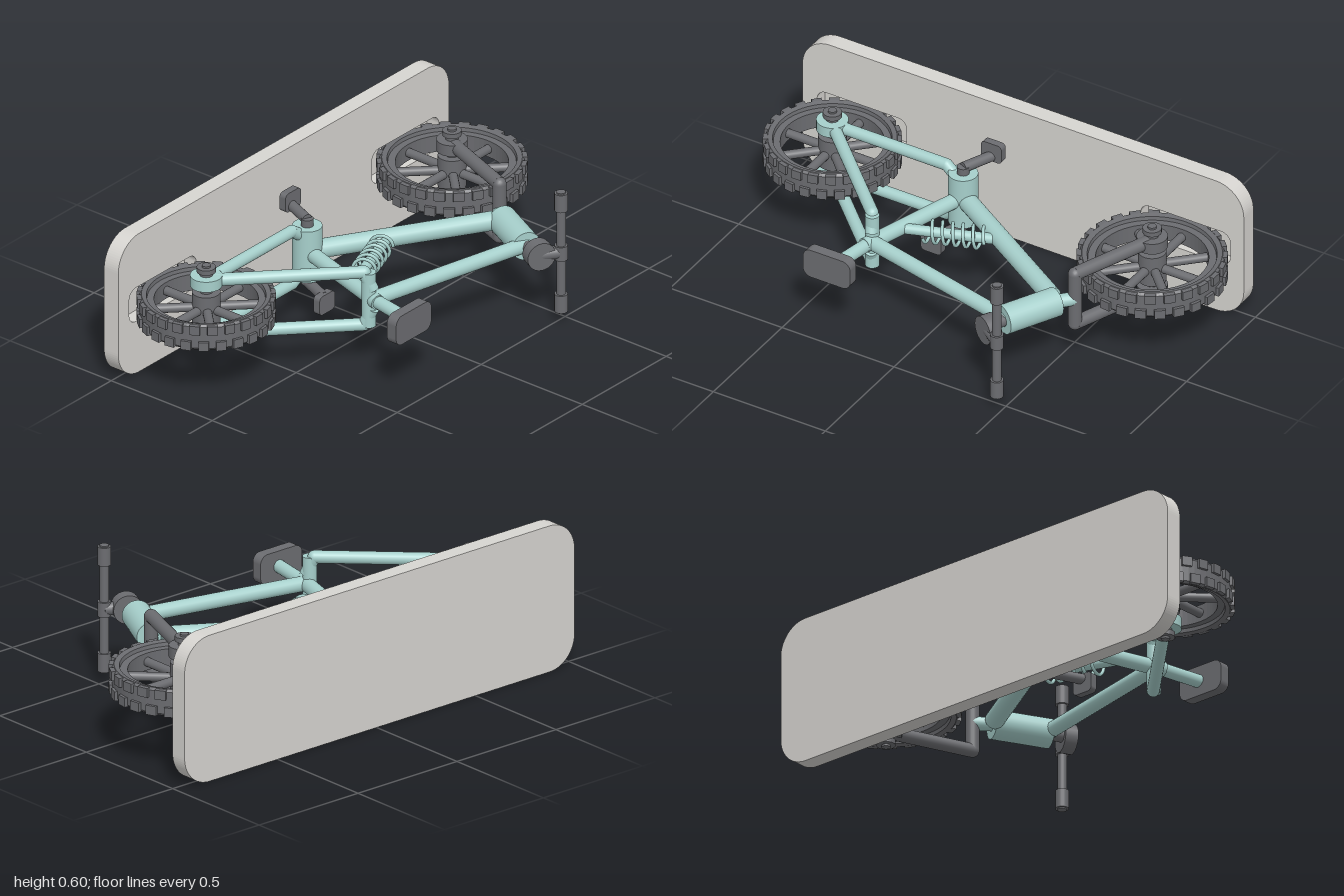
import * as THREE from 'three';

const mat = (color) => new THREE.MeshStandardMaterial({ color });
const V = (x, y, z = 0) => new THREE.Vector3(x, y, z);
const UP = V(0, 1, 0);

export function createModel() {
  const teal = mat(0xa6cfcb), dark = mat(0x6b6c70), stone = mat(0xd6d4d0);
  // The bike is built upright (y up, z sideways), then laid on its side.
  const bike = new THREE.Group();
  bike.name = 'bicycleOnStand';

  const add = (parent, name, geometry, material) => {
    const m = new THREE.Mesh(geometry, material);
    m.name = name;
    parent.add(m);
    return m;
  };
  // Straight round bar from a to b
  const bar = (parent, name, a, b, r, material, seg = 20) => {
    const d = b.clone().sub(a);
    const m = add(parent, name, new THREE.CylinderGeometry(r, r, d.length(), seg), material);
    m.position.copy(a).addScaledVector(d, 0.5);
    m.quaternion.setFromUnitVectors(UP, d.normalize());
    return m;
  };
  // Bent pipe: bars with ball joints at the corners
  const pipe = (name, points, r, material) => {
    const g = new THREE.Group();
    g.name = name;
    points.slice(1).forEach((p, i) => {
      bar(g, name + 'Bar', points[i], p, r, material);
      if (i > 0) add(g, name + 'Joint', new THREE.SphereGeometry(r, 20, 12), material).position.copy(points[i]);
    });
    bike.add(g);
  };
  const roundRect = (S, x0, x1, y0, y1, r) => {
    const s = new S();
    s.absarc(x1 - r, y0 + r, r, -Math.PI / 2, 0);
    s.absarc(x1 - r, y1 - r, r, 0, Math.PI / 2);
    s.absarc(x0 + r, y1 - r, r, Math.PI / 2, Math.PI);
    s.absarc(x0 + r, y0 + r, r, Math.PI, Math.PI * 1.5);
    s.closePath();
    return s;
  };
  // Flat rounded slab lying in x-z, its underside at height y
  const slab = (name, shape, y, h, material) => {
    const geo = new THREE.ExtrudeGeometry(shape, { depth: h, bevelEnabled: false, curveSegments: 10 });
    geo.rotateX(-Math.PI / 2);
    const m = add(bike, name, geo, material);
    m.position.y = y;
    return m;
  };

  // Stand with a wheel recess at each end
  const outline = () => roundRect(THREE.Shape, -1, 0.97, -0.298, 0.3, 0.125);
  const top = outline();
  for (const [x0, x1] of [[-0.935, -0.535], [0.51, 0.91]])
    top.holes.push(roundRect(THREE.Path, x0, x1, -0.073, 0.073, 0.04));
  slab('standFloor', outline(), -0.535, 0.012, stone);
  slab('standTop', top, -0.523, 0.058, stone);

  // Wheels
  const wheel = (name, x, y, R) => {
    const g = new THREE.Group();
    g.name = name;
    g.position.set(x, y, 0);
    const profile = [[0.75, -0.035], [0.85, -0.035], [0.86, -0.05], [0.93, -0.055], [0.96, -0.045],
      [0.96, 0.045], [0.93, 0.055], [0.86, 0.05], [0.85, 0.035], [0.75, 0.035], [0.75, -0.035]];
    // Doubled corners keep the edges of the tyre sharp
    const pts = profile.flatMap(([r, w]) => [0, 1].map(() => new THREE.Vector2(r * R, w)));
    const tyre = new THREE.LatheGeometry(pts, 64).toNonIndexed();
    tyre.computeVertexNormals();
    add(g, 'tyre', tyre, dark).rotation.x = Math.PI / 2;
    const n = 24;
    for (let i = 0; i < n * 2; i++) {
      const a = (i / (n * 2)) * Math.PI * 2, side = i % 2 ? 1 : -1;
      const k = add(g, 'tread', new THREE.BoxGeometry(R * 0.07, R * 0.15, 0.038), dark);
      k.position.set(Math.cos(a) * R * 0.965, Math.sin(a) * R * 0.965, side * 0.034);
      k.rotation.z = a;
    }
    for (let i = 0; i < 8; i++) {
      const a = (i * Math.PI) / 4;
      bar(g, 'spoke', V(0, 0), V(Math.cos(a) * R * 0.78, Math.sin(a) * R * 0.78), 0.018, dark, 14);
    }
    bar(g, 'hub', V(0, 0, -0.065), V(0, 0, 0.065), 0.055, dark, 28);
    bar(g, 'axle', V(0, 0, -0.165), V(0, 0, 0.165), 0.025, dark);
    for (const s of [-1, 1]) {
      bar(g, 'axleNut', V(0, 0, s * 0.152), V(0, 0, s * 0.172), 0.037, dark);
      bar(g, 'axleTip', V(0, 0, s * 0.17), V(0, 0, s * 0.18), 0.017, dark);
    }
    bike.add(g);
  };
  const rear = V(-0.735, -0.25), front = V(0.705, -0.23), crank = V(-0.145, -0.24), seat = V(-0.285, 0.2);
  wheel('rearWheel', rear.x, rear.y, 0.265);
  wheel('frontWheel', front.x, front.y, 0.288);

  // Main frame
  const headLow = V(0.521, 0.171), headHigh = V(0.414, 0.38);
  bar(bike, 'headTube', headLow, headHigh, 0.058, teal, 32);
  bar(bike, 'topTube', seat, V(0.43, 0.37), 0.03, teal);
  bar(bike, 'downTube', crank, V(0.49, 0.15), 0.038, teal);
  bar(bike, 'seatTube', crank, V(-0.295, 0.235), 0.03, teal);
  bar(bike, 'bottomBracket', V(crank.x, crank.y, -0.11), V(crank.x, crank.y, 0.11), 0.058, teal, 32);

  // Rear stays and axle plates
  for (const s of [-1, 1]) {
    const at = (x, y, z) => V(x, y, s * z);
    pipe('chainStay', [at(rear.x, rear.y, 0.113), at(-0.225, -0.25, 0.113), at(-0.15, -0.24, 0.06)], 0.024, teal);
    pipe('seatStay', [at(rear.x, rear.y, 0.113), at(-0.3, 0.17, 0.113), at(-0.285, 0.2, 0.04)], 0.025, teal);
    bar(bike, 'rearAxlePlate', at(rear.x, rear.y, 0.093), at(rear.x, rear.y, 0.137), 0.062, teal, 32);
    bar(bike, 'frontAxlePlate', at(front.x, front.y, 0.088), at(front.x, front.y, 0.135), 0.06, dark, 32);
  }
  bar(bike, 'stayBridge', V(-0.29, 0.185, -0.115), V(-0.29, 0.185, 0.115), 0.028, teal);

  // Front fork and steerer
  const crownX = 0.572, crownY = 0.115;
  pipe('fork', [V(front.x, front.y, -0.114), V(crownX, crownY, -0.114), V(crownX, crownY, 0.114),
    V(front.x, front.y, 0.114)], 0.027, dark);
  bar(bike, 'steerer', V(crownX, crownY), headLow, 0.027, teal);
  bar(bike, 'steererTop', headHigh, V(0.385, 0.445), 0.025, dark);

  // Stem, handlebar and grips
  const axis = headHigh.clone().sub(headLow).normalize(), stem = V(0.396, 0.458);
  bar(bike, 'stemBlock', stem.clone().addScaledVector(axis, -0.026), stem.clone().addScaledVector(axis, 0.026), 0.058, dark, 28);
  bar(bike, 'stemArm', stem, V(0.465, 0.507), 0.026, dark);
  bar(bike, 'barClamp', V(0.465, 0.509, -0.03), V(0.465, 0.509, 0.03), 0.026, dark);
  bar(bike, 'handlebar', V(0.465, 0.509, -0.26), V(0.465, 0.509, 0.26), 0.018, dark);
  for (const s of [-1, 1])
    bar(bike, 'grip', V(0.465, 0.509, s * 0.18), V(0.465, 0.509, s * 0.255), 0.026, dark);

  // Seat post and saddle
  bar(bike, 'seatPost', seat, V(-0.325, 0.41), 0.026, teal);
  slab('saddle', roundRect(THREE.Shape, -0.44, -0.23, -0.062, 0.062, 0.035), 0.4, 0.045, dark);

  // Shock absorber with coil spring
  const s0 = V(-0.22, 0.057), s1 = V(0.13, -0.07);
  bar(bike, 'shock', s0, s1, 0.021, teal);
  const dir = s1.clone().sub(s0).normalize(), side = V(-dir.y, dir.x);
  const coil = [];
  for (let i = 0; i <= 96; i++) {
    const t = i / 96, a = t * Math.PI * 12;
    const p = s0.clone().lerp(s1, 0.2 + 0.64 * t).addScaledVector(side, 0.043 * Math.cos(a));
    p.z = 0.043 * Math.sin(a);
    coil.push(p);
  }
  add(bike, 'spring', new THREE.TubeGeometry(new THREE.CatmullRomCurve3(coil), 240, 0.007, 8), teal);

  // Cranks and pedals, opposite each other
  bar(bike, 'crankAxle', V(crank.x, crank.y, -0.14), V(crank.x, crank.y, 0.14), 0.024, dark);
  for (const s of [-1, 1]) {
    const end = V(crank.x - s * 0.055, crank.y + s * 0.13, s * 0.134);
    bar(bike, 'crankArm', V(crank.x, crank.y, s * 0.134), end, 0.021, dark);
    const pedal = slab('pedal', roundRect(THREE.Shape, -0.046, 0.046, -0.04, 0.04, 0.018), -0.015, 0.03, dark);
    pedal.position.set(end.x, end.y - 0.015, s * 0.155);
  }

  // Lay the bike on its side
  bike.rotation.x = Math.PI / 2;
  bike.position.y = 0.3;
  const model = new THREE.Group();
  model.name = 'bicycleModel';
  model.add(bike);
  return model;
}
